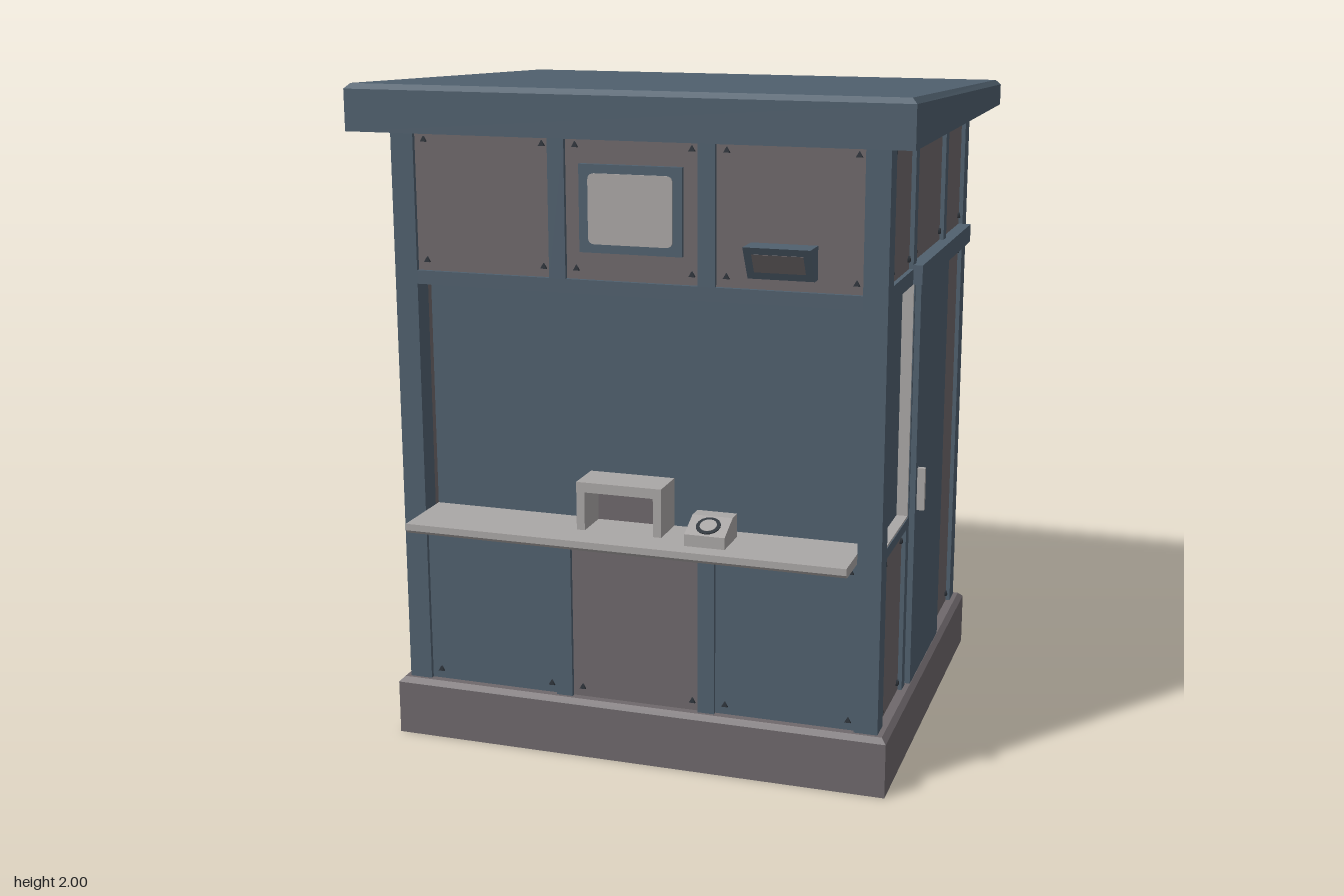
import * as THREE from 'three';

const mat = (name, color) => {
  const m = new THREE.MeshStandardMaterial({ color });
  m.name = name;
  return m;
};

export function createModel() {
  const root = new THREE.Group();
  root.name = 'booth';
  const blue = mat('slate blue', 0x50606e);
  const brown = mat('warm grey', 0x6e686b);
  const light = mat('pale grey', 0xaaa7a6);
  const dark = mat('dark bolt', 0x30363d);

  const add = (parent, name, geo, m) => {
    const mesh = new THREE.Mesh(geo, m);
    mesh.name = name;
    parent.add(mesh);
    return mesh;
  };
  // box between two corners, in any order
  const box = (parent, name, m, x0, x1, y0, y1, z0, z1) =>
    add(parent, name, new THREE.BoxGeometry(Math.abs(x1 - x0), Math.abs(y1 - y0), Math.abs(z1 - z0))
      .translate((x0 + x1) / 2, (y0 + y1) / 2, (z0 + z1) / 2), m);
  // side profile of [z, y] points, swept from x0 to x1
  const prism = (parent, name, m, pts, x0, x1) =>
    add(parent, name, new THREE.ExtrudeGeometry(new THREE.Shape(pts.map(p => new THREE.Vector2(...p))),
      { depth: x1 - x0, bevelEnabled: false }).rotateY(-Math.PI / 2).translate(x1, 0, 0), m);
  // stacked rectangles: [half width, front z, back z, front y, back y]
  const stack = (name, m, rings) => {
    const corners = rings.map(([w, zf, zb, yf, yb]) => [[-w, yf, zf], [w, yf, zf], [w, yb, zb], [-w, yb, zb]]);
    const pos = [];
    const quad = (a, b, c, d) => pos.push(...a, ...b, ...c, ...a, ...c, ...d);
    for (let i = 0; i + 1 < corners.length; i++)
      for (let k = 0; k < 4; k++) {
        const n = (k + 1) % 4;
        quad(corners[i][k], corners[i][n], corners[i + 1][n], corners[i + 1][k]);
      }
    const [a, b, c, d] = corners[0];
    quad(d, c, b, a);
    quad(...corners[corners.length - 1]);
    const geo = new THREE.BufferGeometry();
    geo.setAttribute('position', new THREE.Float32BufferAttribute(pos, 3));
    geo.computeVertexNormals();
    add(root, name, geo, m);
  };

  // plinth and sloping roof
  stack('plinth', brown, [[0.765, 0.62, -0.67, 0, 0], [0.765, 0.62, -0.67, 0.165, 0.165], [0.75, 0.605, -0.655, 0.18, 0.18]]);
  stack('roof', blue, [[0.82, 0.705, -0.725, 1.865, 1.865], [0.82, 0.705, -0.725, 1.985, 1.93], [0.805, 0.69, -0.71, 2, 1.945]]);

  // inner body, whose faces are the recessed window panes
  box(root, 'body', blue, -0.7, 0.7, 0.18, 1.865, -0.61, 0.505);
  for (const s of [-1, 1]) {
    box(root, 'frontPost', blue, s * 0.665, s * 0.735, 0.18, 1.865, 0.525, 0.595);
    box(root, 'backPost', blue, s * 0.665, s * 0.735, 0.18, 1.865, -0.64, -0.572);
    box(root, 'cornerStrip', brown, s * 0.665, s * 0.705, 0.18, 1.865, 0.5, 0.526);
  }

  // walls: local +z points outward
  const wall = (name, angle) => {
    const g = new THREE.Group();
    g.name = name;
    g.rotation.y = angle;
    root.add(g);
    return g;
  };
  const bolt = (g, x, y, z) => add(g, 'bolt',
    new THREE.CylinderGeometry(0.011, 0.011, 0.008, 3).rotateX(-Math.PI / 2).translate(x, y, z), dark);
  const panel = (g, m, x0, x1, y0, y1, face, depth, bolts = true) => {
    box(g, 'panel', m, x0, x1, y0, y1, face - depth, face);
    if (!bolts) return;
    const a = Math.min(x0, x1), b = Math.max(x0, x1);
    for (const x of [a + 0.03, b - 0.02]) for (const y of [y0 + 0.03, y1 - 0.03]) bolt(g, x, y, face + 0.003);
  };
  const columns = [[-0.665, -0.25], [-0.2, 0.195], [0.245, 0.665]];
  const studs = [[-0.25, -0.2], [0.195, 0.245]];

  // front wall
  const front = wall('frontWall', 0);
  columns.forEach(([a, b], i) => {
    panel(front, brown, a, b, 1.455, 1.865, 0.582, 0.09);
    panel(front, i === 1 ? brown : blue, a, b, 0.18, 0.69, 0.582, 0.09);
  });
  for (const [a, b] of studs) {
    box(front, 'upperStud', blue, a, b, 1.455, 1.865, 0.5, 0.595);
    box(front, 'lowerStud', blue, a, b, 0.18, 0.69, 0.5, 0.595);
  }
  box(front, 'windowHead', blue, -0.665, 0.665, 1.415, 1.455, 0.5, 0.595);

  // back wall
  const back = wall('backWall', Math.PI);
  columns.forEach(([a, b], i) => {
    const m = i === 1 ? brown : blue;
    panel(back, m, a, b, 1.455, 1.865, 0.625, 0.02);
    panel(back, m, a, b, 0.72, 1.415, 0.622, 0.02, false);
    panel(back, m, a, b, 0.18, 0.69, 0.622, 0.02, false);
    if (i === 1) return;
    // louvred vent
    const c = (a + b) / 2;
    box(back, 'ventPlate', blue, c - 0.1, c + 0.1, 1.585, 1.715, 0.62, 0.636);
    for (let k = 0; k < 3; k++) {
      const y = 1.615 + k * 0.036;
      box(back, 'ventSlot', dark, c - 0.08, c + 0.08, y - 0.009, y - 0.003, 0.632, 0.638);
      prism(back, 'ventLouvre', blue, [[0.634, y + 0.022], [0.634, y - 0.003], [0.646, y - 0.003]], c - 0.08, c + 0.08);
    }
  });
  for (const [a, b] of studs) box(back, 'stud', blue, a, b, 0.18, 1.865, 0.6, 0.638);
  for (const [y0, y1] of [[1.415, 1.455], [0.69, 0.72]]) box(back, 'rail', blue, -0.665, 0.665, y0, y1, 0.6, 0.636);

  // side walls: s = 1 carries the sliding door
  for (const s of [1, -1]) {
    const g = wall(s > 0 ? 'leftWall' : 'rightWall', s * Math.PI / 2);
    const u = z => -s * z;
    const sill = s > 0 ? 1.485 : 1.465;
    panel(g, brown, u(0.525), u(0.25), 1.475, 1.865, 0.722, 0.03);
    panel(g, brown, u(0.205), u(-0.225), sill, 1.865, 0.722, 0.03);
    panel(g, brown, u(-0.27), u(-0.572), sill, 1.865, 0.722, 0.03);
    panel(g, brown, u(0.525), u(0.25), 0.18, 0.69, 0.722, 0.03);
    for (const [a, b] of [[0.25, 0.205], [-0.225, -0.27]])
      box(g, 'upperStud', blue, u(a), u(b), 1.43, 1.865, 0.69, 0.735);
    box(g, 'lowerStud', blue, u(0.25), u(0.205), 0.18, 0.69, 0.69, 0.735);
    box(g, 'windowHead', blue, u(0.525), u(0.205), 1.43, 1.475, 0.69, 0.735);
    box(g, 'windowRail', blue, u(0.525), u(0.205), 0.69, 0.72, 0.69, 0.735);
    // pale window reveals
    box(g, 'windowSill', light, u(0.525), u(0.22), 0.72, 0.726, 0.69, 0.733);
    box(g, 'windowBackJamb', light, u(0.226), u(0.22), 0.72, 1.43, 0.69, 0.733);
    box(g, 'windowFrontJamb', light, u(0.525), u(0.52), 0.72, 1.43, 0.705, 0.733);
    box(g, 'windowStud', blue, u(0.22), u(0.205), 0.69, 1.43, 0.69, 0.735);
    if (s > 0) {
      panel(g, brown, u(-0.24), u(-0.572), 0.18, 1.43, 0.722, 0.03);
      box(g, 'door', blue, u(0.21), u(-0.24), 0.187, 1.43, 0.69, 0.752);
      box(g, 'doorTrack', blue, u(0.25), u(-0.572), 1.43, 1.487, 0.69, 0.762);
      box(g, 'doorHandle', light, u(0.187), u(0.17), 0.735, 0.865, 0.75, 0.775);
    } else {
      for (const [y0, y1] of [[0.18, 0.69], [0.72, 1.43]]) {
        panel(g, blue, u(0.205), u(-0.225), y0, y1, 0.722, 0.03, false);
        panel(g, brown, u(-0.27), u(-0.572), y0, y1, 0.722, 0.03, false);
      }
      box(g, 'backStud', blue, u(-0.225), u(-0.27), 0.18, 1.43, 0.69, 0.735);
      for (const [y0, y1] of [[0.69, 0.72], [1.43, 1.465]])
        box(g, 'rail', blue, u(0.205), u(-0.572), y0, y1, 0.69, 0.733);
    }
  }

  // counter with chamfered front edge
  prism(root, 'counter', light, [[0.5, 0.69], [0.72, 0.69], [0.73, 0.7], [0.73, 0.72], [0.5, 0.72]], -0.665, 0.665);

  // service hatch on the counter
  for (const [a, b] of [[-0.165, -0.14], [0.07, 0.095]]) box(root, 'hatchSide', light, a, b, 0.72, 0.865, 0.5, 0.627);
  box(root, 'hatchTop', light, -0.14, 0.07, 0.835, 0.865, 0.5, 0.627);
  box(root, 'hatchFlap', brown, -0.14, 0.07, 0.72, 0.835, 0.503, 0.512);

  // intercom with round speaker
  prism(root, 'intercom', light, [[0.55, 0.72], [0.675, 0.72], [0.675, 0.755], [0.595, 0.79], [0.55, 0.79]], 0.18, 0.3);
  for (const [r, h, m] of [[0.036, 0.005, dark], [0.025, 0.008, light]]) {
    const disc = add(root, 'speaker', new THREE.CylinderGeometry(r, r, h, 16), m);
    disc.position.set(0.24, 0.7725, 0.635);
    disc.rotation.x = 0.41;
  }

  // display screen with rounded pane
  box(root, 'screenFrame', blue, -0.155, 0.15, 1.535, 1.785, 0.575, 0.598);
  const w = 0.125, h = 0.1, r = 0.02;
  const pane = new THREE.Shape();
  pane.moveTo(-w + r, -h);
  for (const [sx, sy, ax, ay] of [[1, -1, 0, 1], [1, 1, 1, 0], [-1, 1, 0, 1], [-1, -1, 1, 0]]) {
    pane.lineTo(sx * (w - (ay ? r : 0)), sy * (h - (ax ? r : 0)));
    pane.quadraticCurveTo(sx * w, sy * h, sx * (w - (ax ? r : 0)), sy * (h - (ay ? r : 0)));
  }
  add(root, 'screenPane', new THREE.ExtrudeGeometry(pane, { depth: 0.006, bevelEnabled: false })
    .translate(-0.002, 1.66, 0.596), light);

  // sloping floodlight
  prism(root, 'floodlight', blue, [[0.575, 1.49], [0.615, 1.49], [0.67, 1.585], [0.575, 1.585]], 0.345, 0.535);
  prism(root, 'floodlightRim', dark, [[0.656, 1.572], [0.619, 1.508], [0.622, 1.506], [0.659, 1.57]], 0.36, 0.52);
  prism(root, 'floodlightLens', brown, [[0.655, 1.567], [0.624, 1.513], [0.6285, 1.5105], [0.6595, 1.5645]], 0.367, 0.513);

  return root;
}
